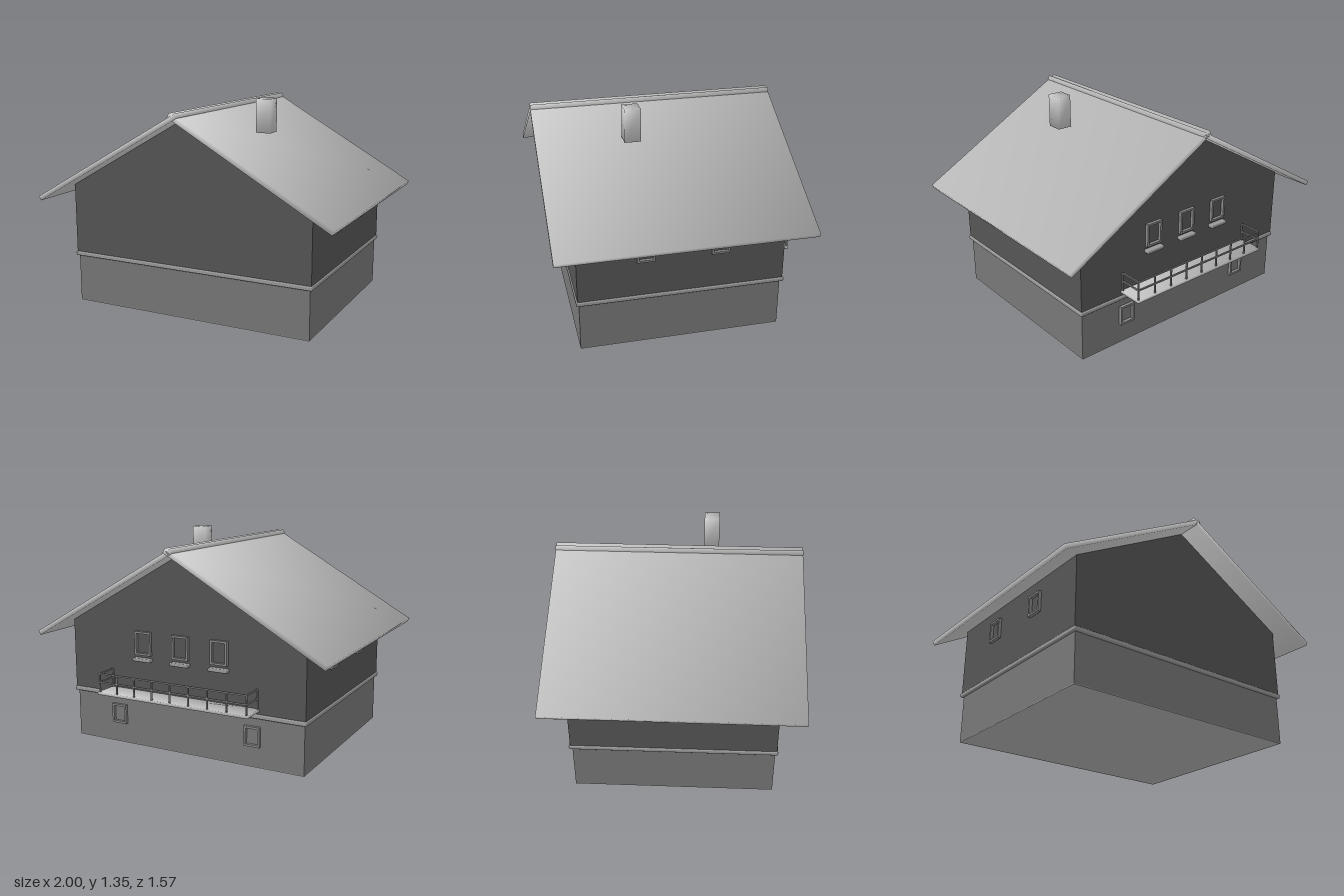
import * as THREE from 'three';
import { RoundedBoxGeometry } from 'three/addons/geometries/RoundedBoxGeometry.js';

const paint = (color) => new THREE.MeshStandardMaterial({ color });
const grey = paint(0xcccccc);
const darkWall = paint(0x555555);
const stone = paint(0x777777);
const floorGrey = paint(0xb4b4b4);
const trim = paint(0x999999);
const frameGrey = paint(0x888888);

function add(parent, name, geometry, material, x = 0, y = 0, z = 0) {
  const mesh = new THREE.Mesh(geometry, material);
  mesh.name = name;
  mesh.position.set(x, y, z);
  parent.add(mesh);
  return mesh;
}

// Box whose normals are shared at the corners, so its faces shade softly
function smoothBox(width, height, depth) {
  const geometry = new THREE.BoxGeometry(width, height, depth);
  const { position, normal } = geometry.attributes;
  const n = new THREE.Vector3();
  for (let i = 0; i < position.count; i++) {
    n.fromBufferAttribute(position, i);
    n.set(Math.sign(n.x), Math.sign(n.y), Math.sign(n.z)).normalize();
    normal.setXYZ(i, n.x, n.y, n.z);
  }
  return geometry;
}

const plainBox = (...size) => new THREE.BoxGeometry(...size);
const roundedBox = (...size) => new RoundedBoxGeometry(...size, 2, Math.min(...size) * 0.3);

// Box given by its limits on each axis
function block(parent, name, material, [x0, x1], [y0, y1], [z0, z1], make = plainBox) {
  return add(parent, name, make(x1 - x0, y1 - y0, z1 - z0), material,
    (x0 + x1) / 2, (y0 + y1) / 2, (z0 + z1) / 2);
}

// Hollow window surround, standing out along its local +z
function windowFrame(parent, name, width, height, x, y, z, turn) {
  const w = width / 2, h = height / 2, bar = 0.013;
  const rect = (Type, a, b) => new Type([
    new THREE.Vector2(-a, -b), new THREE.Vector2(a, -b),
    new THREE.Vector2(a, b), new THREE.Vector2(-a, b),
  ]);
  const shape = rect(THREE.Shape, w, h);
  shape.holes.push(rect(THREE.Path, w - bar, h - bar));
  const geometry = new THREE.ExtrudeGeometry(shape, { depth: 0.022, bevelEnabled: false });
  add(parent, name, geometry, frameGrey, x, y, z).rotation.y = turn;
}

function buildBalcony() {
  const balcony = new THREE.Group();
  balcony.name = 'balcony';
  const half = 0.515, front = -0.775, wall = -0.635, t = 0.0045;
  block(balcony, 'balconyFloor', grey, [-0.525, 0.525], [0.354, 0.371], [-0.785, -0.62], smoothBox);

  // Posts along the front and against the wall
  const spans = 8;
  const post = (x, z) =>
    block(balcony, 'railingPost', frameGrey, [x - t, x + t], [0.365, 0.49], [z - t, z + t]);
  for (let i = 0; i <= spans; i++) post(-half + (2 * half * i) / spans, front);
  for (const x of [-half, half]) post(x, wall);

  // Top and middle rails on three sides
  for (const y of [0.435, 0.49]) {
    block(balcony, 'frontRail', frameGrey,
      [-half - t, half + t], [y - t, y + t], [front - t, front + t]);
    for (const x of [-half, half])
      block(balcony, 'sideRail', frameGrey, [x - t, x + t], [y - t, y + t], [front, wall]);
  }
  return balcony;
}

function buildRoof() {
  const roof = new THREE.Group();
  roof.name = 'roof';
  // Each slab runs from its eave to slightly past the ridge, so the two cross
  const eave = new THREE.Vector2(-1, 0.715), top = new THREE.Vector2(0.02, 1.297);
  const along = top.clone().sub(eave);
  const length = along.length(), angle = along.angle(), thickness = 0.03;
  for (const side of [-1, 1]) {
    const x = (eave.x + top.x) / 2 + (Math.sin(angle) * thickness) / 2;
    const y = (eave.y + top.y) / 2 - (Math.cos(angle) * thickness) / 2;
    const slab = add(roof, side < 0 ? 'rightRoofSlab' : 'leftRoofSlab',
      smoothBox(length, thickness, 1.561), grey, -side * x, y, 0.0085);
    slab.rotation.z = -side * angle;
  }
  return roof;
}

export function createModel() {
  const house = new THREE.Group();
  house.name = 'house';

  // Basement on its floor slab, and the moulding above it
  block(house, 'floorSlab', floorGrey, [-0.81, 0.81], [0, 0.004], [-0.616, 0.637]);
  block(house, 'basement', stone, [-0.81, 0.81], [0.004, 0.315], [-0.616, 0.637]);
  block(house, 'beltMoulding', trim, [-0.828, 0.828], [0.309, 0.337], [-0.637, 0.654], roundedBox);

  // Upper storey with gables
  const gable = new THREE.Shape([
    [-0.82, 0.32], [0.82, 0.32], [0.82, 0.785], [0, 1.253], [-0.82, 0.785],
  ].map(([x, y]) => new THREE.Vector2(x, y)));
  add(house, 'upperStorey',
    new THREE.ExtrudeGeometry(gable, { depth: 1.274, bevelEnabled: false }), darkWall, 0, 0, -0.628);

  house.add(buildRoof());
  block(house, 'chimney', grey, [0.29, 0.386], [1.14, 1.35], [0.165, 0.265], smoothBox);

  // Two windows on each long side
  for (const side of [-1, 1])
    for (const z of [0.236, -0.22])
      windowFrame(house, 'sideWindow', 0.11, 0.136, side * 0.818, 0.635, z, (side * Math.PI) / 2);

  // Back windows: three with sills above the balcony, two in the basement
  for (const x of [-0.262, 0.008, 0.278]) {
    windowFrame(house, 'upperWindow', 0.115, 0.15, x, 0.68, -0.626, Math.PI);
    block(house, 'windowSill', trim,
      [x - 0.065, x + 0.065], [0.565, 0.588], [-0.665, -0.625], roundedBox);
  }
  for (const x of [-0.477, 0.477])
    windowFrame(house, 'basementWindow', 0.105, 0.125, x, 0.194, -0.614, Math.PI);

  house.add(buildBalcony());
  return house;
}
